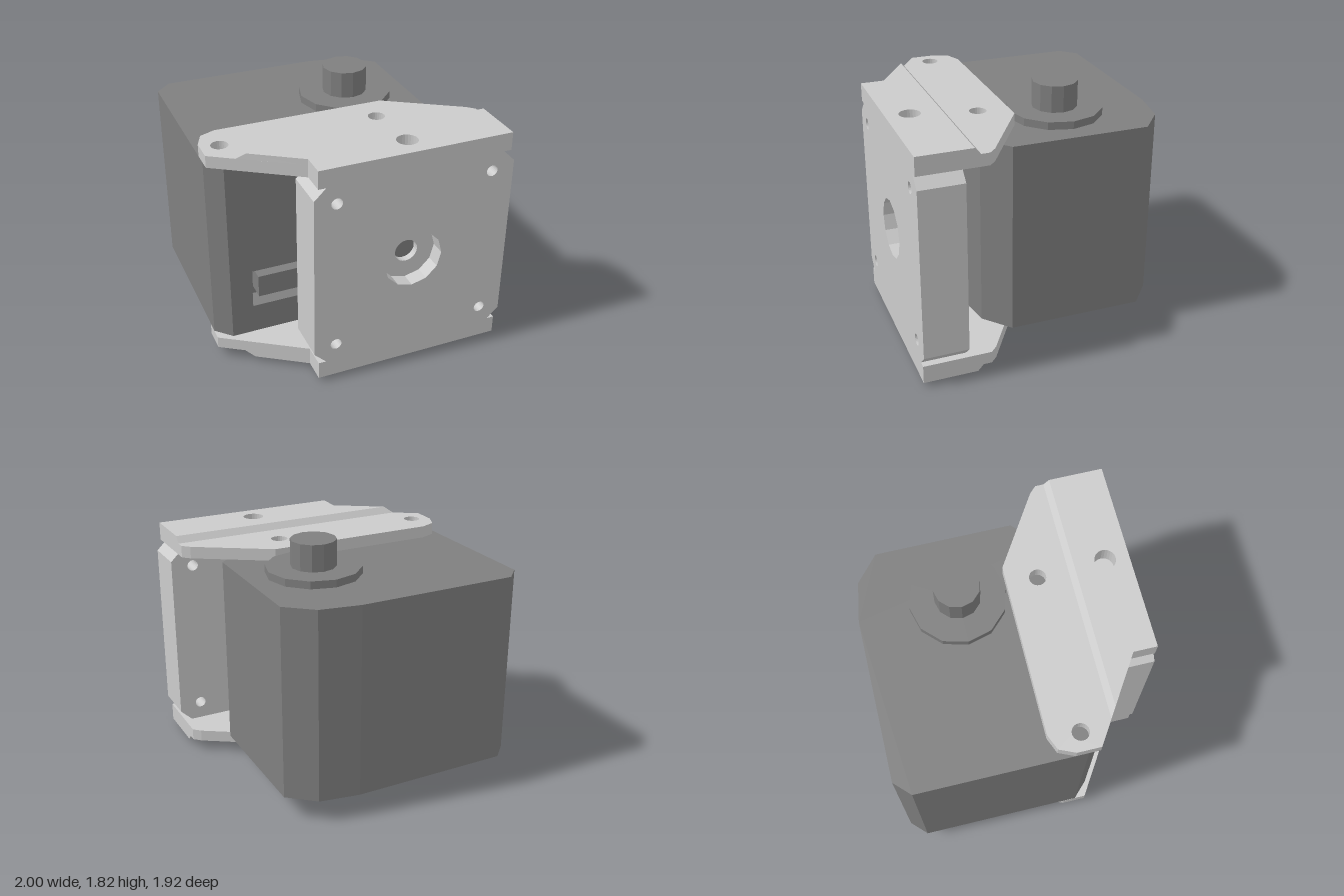
import * as THREE from 'three';

const motorMat = new THREE.MeshStandardMaterial({ color: 0x7f7f7f, flatShading: true });
const bracketMat = new THREE.MeshStandardMaterial({ color: 0xcccccc, flatShading: true });
const MID_Y = 0.87; // the bracket and the motor body are mirrored about this height

const outline = (pts) => new THREE.Shape(pts.map(([x, y]) => new THREE.Vector2(x, y)));

// Regular polygon hole
function hole(shape, x, y, r, sides) {
  const pts = [];
  for (let i = 0; i < sides; i++) {
    const a = (i / sides) * Math.PI * 2;
    pts.push(new THREE.Vector2(x + r * Math.cos(a), y + r * Math.sin(a)));
  }
  shape.holes.push(new THREE.Path(pts));
}

function extrude(shape, depth) {
  return new THREE.ExtrudeGeometry(shape, { depth, bevelEnabled: false });
}

// Extrudes an outline of [x, z] points away from height y, up (dir 1) or down (dir -1)
function slab(pts, y, height, dir, holes = [], rule = null) {
  const shape = outline(pts.map(([x, z]) => [x, -dir * z]));
  holes.forEach(([x, z, r]) => hole(shape, x, -dir * z, r, 24));
  const geo = extrude(shape, height);
  geo.rotateX((-dir * Math.PI) / 2).translate(0, y, 0);
  if (rule) {
    const p = geo.attributes.position;
    for (let i = 0; i < p.count; i++) rule(p, i);
    geo.computeVertexNormals();
  }
  return geo;
}

function add(parent, name, geo, mat) {
  const mesh = new THREE.Mesh(geo, mat);
  mesh.name = name;
  parent.add(mesh);
  return mesh;
}

function buildMotor() {
  const motor = new THREE.Group();
  motor.name = 'motor';
  const back = [[-1, 0.34], [-1, -0.85], [-0.89, -0.96], [0.27, -0.96], [0.56, -0.91],
    [0.75, -0.75], [0.75, 0.235], [0.56, 0.4], [0.27, 0.45]];
  const full = [...back, [-0.89, 0.45]];
  const notched = [...back, [-0.2, 0.45], [-0.2, 0.3], [-0.73, 0.3], [-0.73, 0.45], [-0.89, 0.45]];

  // Housing, with a socket opening in its front face
  add(motor, 'housingLower', slab(full, 0.17, 0.225, 1), motorMat);
  add(motor, 'housingMiddle', slab(notched, 0.395, 0.3, 1), motorMat);
  add(motor, 'housingUpper', slab(full, 0.695, 0.878, 1), motorMat);
  const plug = new THREE.BoxGeometry(0.43, 0.17, 0.14);
  add(motor, 'socketCore', plug.translate(-0.465, 0.545, 0.37), motorMat);

  // Bearing collars and shaft ends
  const drum = (name, r, y0, y1) => {
    const geo = new THREE.CylinderGeometry(r, r, y1 - y0, 12);
    add(motor, name, geo.translate(0.27, (y0 + y1) / 2, -0.26), motorMat);
  };
  drum('collarTop', 0.34, 1.573, 1.628);
  drum('collarBottom', 0.34, 0.115, 0.17);
  drum('shaftTop', 0.162, 1.628, 1.82);
  drum('shaftBottom', 0.162, 0, 0.115);
  return motor;
}

function buildPlate() {
  const plate = new THREE.Group();
  plate.name = 'frontPlate';
  const [l, r, c, h, e] = [-0.46, 1, 0.085, 0.703, 0.62];
  const corners = [[l, MID_Y - e], [l + c, MID_Y - h], [r - c, MID_Y - h], [r, MID_Y - e],
    [r, MID_Y + e], [r - c, MID_Y + h], [l + c, MID_Y + h], [l, MID_Y + e]];

  // Each layer has four screw holes and its own centre opening
  const layer = (name, z0, z1, centre) => {
    const shape = outline(corners);
    for (const x of [-0.3, 0.835])
      for (const y of [MID_Y - 0.57, MID_Y + 0.57]) hole(shape, x, y, 0.041, 24);
    centre(shape);
    add(plate, name, extrude(shape, z1 - z0).translate(0, 0, z0), bracketMat);
  };
  layer('plateFront', 0.85, 0.96, (s) => hole(s, 0.27, MID_Y, 0.217, 12));
  layer('plateWeb', 0.8, 0.85, (s) => hole(s, 0.27, MID_Y, 0.085, 24));
  layer('plateBack', 0.64, 0.8, (s) => {
    const k = 0.26;
    s.holes.push(new THREE.Path([[-k, -k], [k, -k], [k, k], [-k, k]]
      .map(([x, y]) => new THREE.Vector2(0.27 + x, MID_Y + y))));
  });
  return plate;
}

// Mounting arm: a thin sheet with a thicker, ramped front part
function buildArm(name, dir) {
  const arm = new THREE.Group();
  arm.name = name;
  const inner = MID_Y + dir * 0.703;
  const step = MID_Y + dir * 0.79;
  const sheet = [[-1, 0.42], [-1, 0.25], [-0.95, 0.135], [-0.84, 0.09], [0.4, 0.09],
    [0.92, 0.42], [0.97, 0.47], [0.97, 0.96], [-0.43, 0.96], [-0.43, 0.79]];
  const thick = [[-0.83, 0.53], [0.97, 0.53], [0.97, 0.96], [-0.43, 0.96], [-0.43, 0.79]];
  const front = [0.27, 0.79, 0.075];

  add(arm, 'armSheet', slab(sheet, inner, 0.087, dir,
    [[-0.87, 0.31, 0.06], [0.27, 0.31, 0.06], front]), bracketMat);
  // Pull the outer rear edge forward to form the ramp
  add(arm, 'armStep', slab(thick, step, 0.046, dir, [front], (p, i) => {
    if (Math.abs(p.getY(i) - step) > 0.02 && p.getZ(i) < 0.535) {
      p.setZ(i, 0.57);
      if (p.getX(i) < 0) p.setX(i, -0.768);
    }
  }), bracketMat);
  return arm;
}

export function createModel() {
  const model = new THREE.Group();
  model.name = 'motorWithBracket';
  const bracket = new THREE.Group();
  bracket.name = 'bracket';
  bracket.add(buildPlate(), buildArm('upperArm', 1), buildArm('lowerArm', -1));
  model.add(buildMotor(), bracket);
  return model;
}
